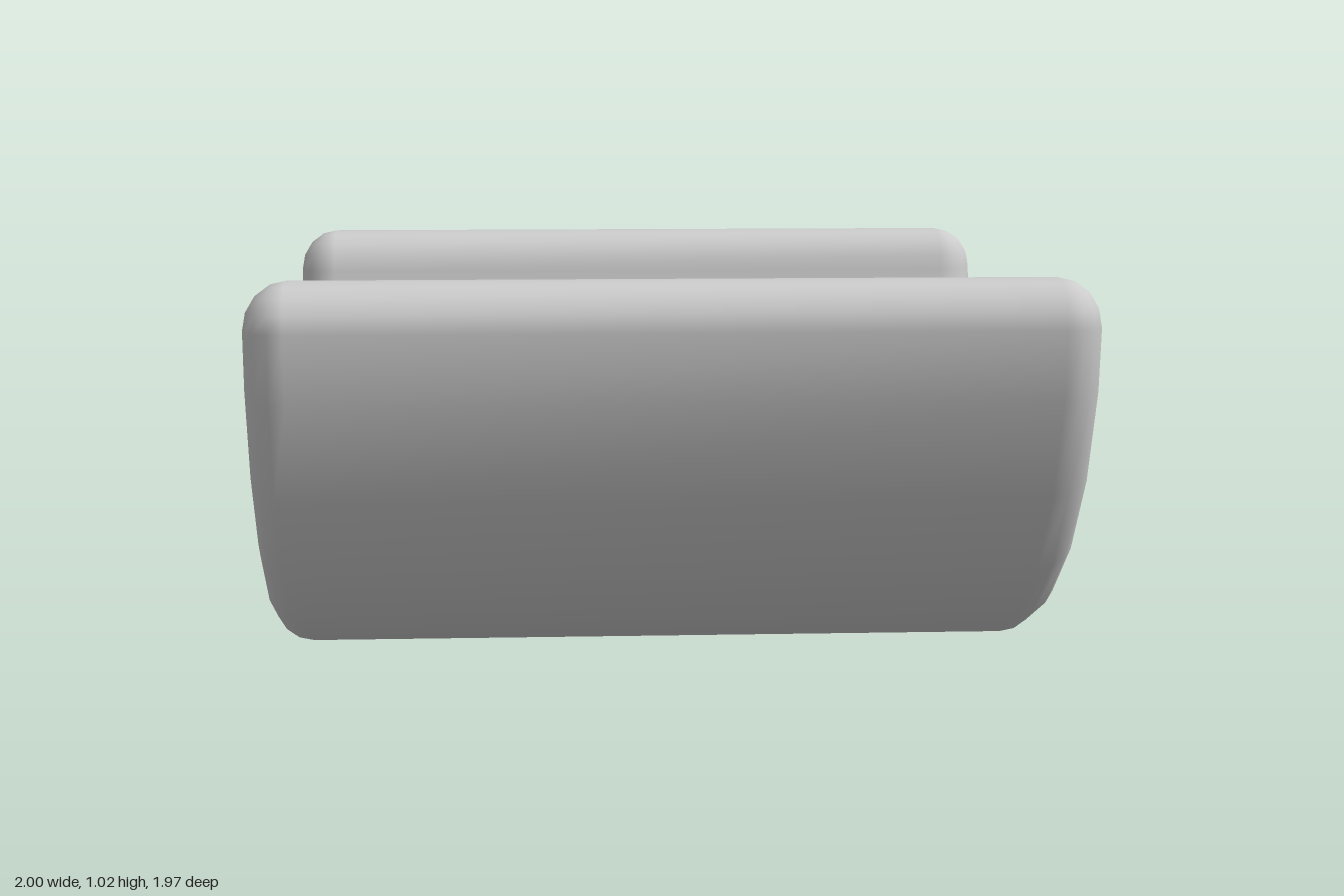
import * as THREE from 'three';
import { mergeVertices } from 'three/addons/utils/BufferGeometryUtils.js';

const CENTRE_Y = 1.0, MID_RADIUS = 0.876, HALF_WALL = 0.124, HALF_LENGTH = 1;
const BEVEL = 0.1, STEPS = 4;

// Rounded rectangle in (along the length, through the wall), shrunk by inset
function section(inset) {
  const r = BEVEL - inset, points = [];
  const cx = HALF_LENGTH - BEVEL, cr = HALF_WALL - BEVEL;
  [[1, 1], [-1, 1], [-1, -1], [1, -1]].forEach(([sx, sr], corner) => {
    for (let i = 0; i <= STEPS; i++) {
      const a = (corner + i / STEPS) * Math.PI / 2;
      points.push([sx * cx + r * Math.cos(a), sr * cr + r * Math.sin(a)]);
    }
  });
  return points;
}

// Stations of the sweep: centre (z, y), outward direction (dz, dy), inset
function stations() {
  const list = [];
  for (let deg = -75; deg <= 75; deg += 15) {
    const a = THREE.MathUtils.degToRad(deg), dz = Math.sin(a), dy = -Math.cos(a);
    list.push({ z: MID_RADIUS * dz, y: CENTRE_Y + MID_RADIUS * dy, dz, dy, inset: 0 });
  }
  // Rounded lips along both upper edges
  for (let i = 0; i <= STEPS; i++) {
    const a = (i / STEPS) * Math.PI / 2;
    const lip = { z: 0.863, y: 0.91 + 0.112 * Math.sin(a), dz: 1, dy: 0, inset: BEVEL * (1 - Math.cos(a)) };
    list.push(lip);
    list.unshift({ ...lip, z: -lip.z, dz: -1 });
  }
  return list;
}

function troughGeometry() {
  const positions = [], index = [], path = stations();
  let n = 0;
  for (const s of path) {
    const loop = section(s.inset);
    n = loop.length;
    for (const [x, r] of loop) positions.push(x, s.y + r * s.dy, s.z + r * s.dz);
  }
  for (let i = 0; i < path.length - 1; i++) {
    for (let j = 0; j < n; j++) {
      const a = i * n + j, b = i * n + (j + 1) % n;
      index.push(a, a + n, b, b, a + n, b + n);
    }
  }
  // Close both lips
  const last = (path.length - 1) * n;
  for (let j = 1; j < n - 1; j++) {
    index.push(0, j, j + 1, last, last + j + 1, last + j);
  }
  let geometry = new THREE.BufferGeometry();
  geometry.setAttribute('position', new THREE.Float32BufferAttribute(positions, 3));
  geometry.setIndex(index);
  geometry = mergeVertices(geometry, 1e-4);
  geometry.computeVertexNormals();
  return geometry;
}

export function createModel() {
  const group = new THREE.Group();
  group.name = 'halfPipe';
  const trough = new THREE.Mesh(troughGeometry(), new THREE.MeshStandardMaterial({ color: 0xcccccc }));
  trough.name = 'trough';
  group.add(trough);
  return group;
}
